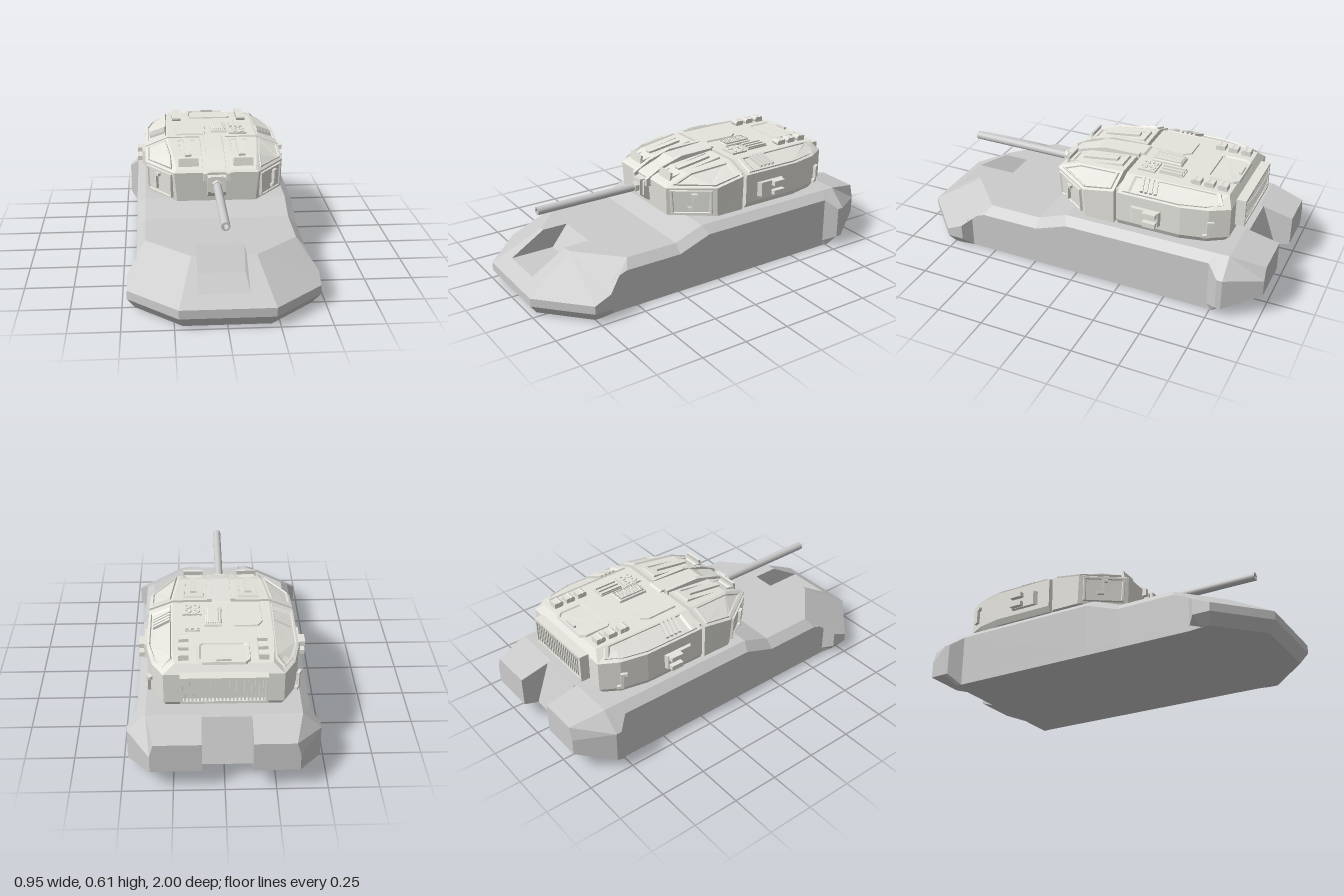
import * as THREE from 'three';

const hullMat = new THREE.MeshStandardMaterial({ color: 0xcccccc, flatShading: true });
const turretMat = new THREE.MeshStandardMaterial({ color: 0xe4e3dc, flatShading: true });

// Skin a series of equal-length rings, each counter-clockwise about the direction of travel, and cap both ends.
function loft(rings) {
  const pos = [], n = rings[0].length, last = rings[rings.length - 1];
  const quad = (a, b, c, d) => pos.push(...a, ...b, ...c, ...a, ...c, ...d);
  for (let i = 0; i + 1 < rings.length; i++)
    for (let j = 0; j < n; j++) {
      const k = (j + 1) % n;
      quad(rings[i][j], rings[i][k], rings[i + 1][k], rings[i + 1][j]);
    }
  for (let j = 0; j < (n - 1) / 2; j++) {
    const f = rings[0];
    if (j + 1 > n - 2 - j + 1) break;
    quad(f[j], f[n - 1 - j], f[n - 2 - j], f[j + 1]);
    quad(last[j], last[j + 1], last[n - 2 - j], last[n - 1 - j]);
  }
  const g = new THREE.BufferGeometry();
  g.setAttribute('position', new THREE.Float32BufferAttribute(pos, 3));
  g.computeVertexNormals();
  return g;
}
const mirror = (ring) => ring.map(([x, y, z]) => [-x, y, z]).reverse();
const fullRing = (half) => [...half, ...mirror(half)];

// Closed (z, y) profile extruded between x0 and x1
function extrudeX(profile, x0, x1) {
  const shape = new THREE.Shape(profile.map(([z, y]) => new THREE.Vector2(z, y)));
  return new THREE.ExtrudeGeometry(shape, { depth: x1 - x0, bevelEnabled: false })
    .rotateY(-Math.PI / 2).translate(x1, 0, 0);
}

// Plate on a surface: outline scaled about its centre and lifted along its normal, step by step
const RAISED = [[1, -0.004], [0.96, 0.009]];
const FRAMED = [[1, -0.006], [0.97, 0.008], [0.89, 0.008], [0.85, 0.001]];
function plate(points, steps) {
  const v = points.map((p) => new THREE.Vector3(...p));
  const c = v.reduce((s, p) => s.add(p), new THREE.Vector3()).divideScalar(v.length);
  const nrm = new THREE.Vector3();
  v.forEach((p, i) => nrm.add(p.clone().sub(c).cross(v[(i + 1) % v.length].clone().sub(c))));
  nrm.normalize();
  return loft(steps.map(([s, h]) => v.map((p) =>
    p.clone().sub(c).multiplyScalar(s).add(c).addScaledVector(nrm, h).toArray())));
}

export function createModel() {
  const model = new THREE.Group();
  const hull = new THREE.Group(), turret = new THREE.Group();
  hull.name = 'hull';
  turret.name = 'turret';
  model.add(hull, turret);
  const add = (group, name, geo, mat = turretMat) => {
    const m = new THREE.Mesh(geo, mat);
    m.name = name;
    group.add(m);
    return m;
  };
  const box = (name, w, h, d, x, y, z, ry = 0, rx = 0) => {
    const m = add(turret, name, new THREE.BoxGeometry(w, h, d));
    m.position.set(x, y, z);
    m.rotation.set(rx, ry, 0);
    return m;
  };
  const platePair = (name, pts, steps) => {
    add(turret, name + 'Left', plate(pts, steps));
    add(turret, name + 'Right', plate(mirror(pts), steps));
  };

  // Hull sides, rear to front: bottom edge, lower flank, upper flank, deck edge
  const stations = [
    [[.36, .12, -1], [.36, .12, -1], [.36, .21, -1], [.34, .28, -1]],
    [[.45, .06, -.82], [.475, .06, -.82], [.475, .23, -.82], [.38, .32, -.82]],
    [[.43, 0, -.76], [.475, .06, -.79], [.475, .23, -.79], [.38, .32, -.8]],
    [[.425, 0, -.73], [.425, .03, -.73], [.425, .28, -.73], [.38, .32, -.75]],
    [[.425, 0, .06], [.425, .03, .06], [.425, .28, .06], [.38, .32, .08]],
    [[.425, 0, .24], [.425, .03, .24], [.425, .215, .24], [.38, .26, .24]],
    [[.425, 0, .56], [.425, .03, .56], [.425, .215, .56], [.38, .26, .53]],
    [[.425, 0, .64], [.425, .03, .64], [.425, .185, .64], [.38, .26, .53]],
    [[.435, 0, .71], [.475, .055, .68], [.475, .14, .68], [.38, .26, .53]],
    [[.435, 0, .75], [.475, .055, .77], [.475, .1, .77], [.16, .26, .74]],
    [[.21, 0, .96], [.23, .055, 1], [.23, .1, 1], [.23, .1, 1]],
  ];
  const xRight = -0.135, xLeft = 0.11;
  const hullRing = (st, xi) => [...st, ...[3, 1, 0].map((i) => [xi, st[i][1], st[i][2]])];
  add(hull, 'hullLeft', loft(stations.map((s) => hullRing(s, xLeft))), hullMat);
  add(hull, 'hullRight', loft(stations.map((s) => mirror(hullRing(s, -xRight)))), hullMat);
  // Middle strip with the nose recess and the rear notch
  add(hull, 'hullMiddle', extrudeX([[.96, 0], [1, .055], [1, .1], [.927, .145], [.69, .145], [.6, .26],
    [.24, .26], [.08, .32], [-.84, .32], [-.92, .093], [-.82, .06], [-.76, 0]], xRight, xLeft), hullMat);
  add(hull, 'turretRing', new THREE.CylinderGeometry(.18, .18, .04, 32), hullMat).position.set(0, .325, -.31);

  // Turret bodies: front wedge and rear casemate with a narrow joint between
  add(turret, 'turretFront', loft([
    [[.21, .34, .185], [.37, .34, -.03], [.37, .34, -.19]],
    [[.225, .50, .2], [.375, .50, -.02], [.375, .53, -.19]],
    [[.21, .512, .188], [.225, .555, .07], [.25, .58, -.19]],
  ].map(fullRing)));
  add(turret, 'turretRear', loft([
    [[.36, .34, -.21], [.36, .34, -.54], [.33, .34, -.68], [.28, .34, -.76]],
    [[.375, .37, -.21], [.375, .37, -.55], [.345, .37, -.69], [.29, .37, -.785]],
    [[.375, .53, -.21], [.375, .53, -.55], [.345, .53, -.69], [.29, .53, -.785]],
    [[.25, .58, -.21], [.25, .58, -.55], [.245, .58, -.66], [.235, .575, -.755]],
  ].map(fullRing)));
  box('turretJoint', .68, .18, .06, 0, .44, -.2);

  // Armour panels
  platePair('cheekFrame', [[.235, .355, .175], [.36, .355, -.005], [.365, .49, 0], [.235, .49, .185]], FRAMED);
  platePair('cheekRoofFrame', [[.235, .512, .165], [.362, .508, -.02], [.362, .533, -.175],
    [.262, .574, -.175], [.237, .553, .06]], FRAMED);
  platePair('sideRoofFrame', [[.365, .535, -.23], [.365, .535, -.54], [.335, .535, -.67], [.29, .537, -.75],
    [.25, .577, -.72], [.258, .577, -.23]], FRAMED);
  platePair('frontRoofPanel', [[.09, .524, .155], [.195, .524, .155], [.2, .576, -.17], [.09, .576, -.17]],
    [[1, -.01], [.96, .014], [.82, .014], [.79, .007]]);
  for (const s of [-1, 1]) {
    box('frontPanelRib', .035, .012, .2, s * .145, .572, -.02, 0, .14);
    box('frontPanelLip', .105, .06, .012, s * .147, .535, .152, 0, -.15);
    // Mantlet cheeks either side of the gun slot
    add(turret, 'mantletCheek', extrudeX([[-.2, .57], [-.2, .592], [0, .588], [.13, .55], [.222, .5], [.222, .46], [.18, .46]],
      s > 0 ? .05 : -.072, s > 0 ? .072 : -.05));
    // Handles on the cheeks and rear corners
    for (const [x, z, ry] of [[.305, .085, .97], [.35, -.69, 2.05]]) {
      const h = new THREE.Group();
      h.name = 'handle';
      for (const [w, hh, y, px] of [[.014, .07, 0, 0], [.034, .016, .036, .01], [.034, .016, -.036, -.01]])
        add(h, 'handleBar', new THREE.BoxGeometry(w, hh, .016)).position.set(px, y, .014);
      h.position.set(s * x, .43, z);
      h.rotation.y = s * ry;
      turret.add(h);
    }
    // Side sight: tapered base with two prongs
    add(turret, 'sideSight', loft([
      [[.37, .395, -.28], [.37, .395, -.45], [.37, .475, -.45], [.37, .475, -.28]],
      [[.395, .395, -.3], [.395, .395, -.44], [.395, .475, -.44], [.395, .475, -.3]],
    ].map((r) => (s > 0 ? r : mirror(r)))));
    for (const y of [.41, .462]) box('sideSightProng', .035, .026, .07, s * .404, y, -.4);
    // Louvres on the sloped sides
    for (let i = 0; i < 4; i++) {
      const l = box('louvre', .095, .016, .015, s * .305, .566, -.32 - i * .025, s * .25);
      l.rotation.z = -s * .38;
    }
    // Launcher blocks
    for (const z of [-.575, -.645, -.715]) {
      box('launcher', .048, .03, .038, s * .192, .59, z);
      const tube = add(turret, 'launcherTube', new THREE.CylinderGeometry(.016, .016, .05, 12).rotateZ(Math.PI / 2));
      tube.position.set(s * .192, .592, z + .016);
    }
  }

  // Roof hatches
  add(turret, 'rearHatch', plate([[.13, .579, -.61], [.13, .579, -.74], [.105, .577, -.765], [-.105, .577, -.765],
    [-.13, .579, -.74], [-.13, .579, -.61], [-.115, .579, -.595], [.115, .579, -.595]], FRAMED));
  box('rearHatchHandle', .07, .012, .014, 0, .588, -.745);
  add(turret, 'crewHatch', plate([[-.035, .579, -.24], [-.03, .579, -.41], [-.06, .579, -.45], [-.18, .579, -.45],
    [-.205, .579, -.41], [-.2, .579, -.24]], RAISED));

  // Slatted roof sight
  add(turret, 'roofSight', loft([
    [[.09, .575, -.28], [.09, .575, -.45], [0, .575, -.45], [0, .575, -.28]],
    [[.088, .592, -.285], [.088, .592, -.445], [.002, .592, -.445], [.002, .592, -.285]],
    [[.07, .602, -.3], [.07, .602, -.43], [.02, .602, -.43], [.02, .602, -.3]],
  ]));
  for (let i = 0; i < 7; i++) box('roofSightSlat', .006, .016, .15, .012 + i * .011, .595, -.365);

  // Vents beside the sight: four caps and a slotted box
  box('ventBase', .1, .012, .095, .15, .584, -.295);
  for (const x of [.128, .172]) for (const z of [-.273, -.317]) {
    const t = add(turret, 'ventCap', new THREE.TorusGeometry(.014, .005, 8, 18).rotateX(Math.PI / 2));
    t.position.set(x, .591, z);
  }
  box('slotBase', .075, .01, .13, .148, .583, -.425);
  for (const x of [.12, .148, .176]) box('slotRail', .014, .018, .12, x, .588, -.425);

  // Rear grille
  box('grilleBack', .41, .13, .04, 0, .47, -.79);
  for (const y of [.403, .537]) box('grilleRail', .42, .014, .05, 0, y, -.81);
  for (const s of [-1, 1]) box('grilleEnd', .014, .14, .05, s * .203, .47, -.81);
  for (let i = 0; i < 22; i++) box('grilleSlat', .008, .125, .025, -.187 + i * .0178, .47, -.818);

  // Gun: mantlet, collar and bored barrel
  add(turret, 'mantlet', extrudeX([[-.24, .57], [-.22, .59], [.04, .575], [.19, .49], [.225, .48], [.225, .4],
    [.2, .37], [0, .37]], -.048, .048));
  box('barrelCollar', .065, .09, .03, 0, .445, .225);
  add(turret, 'barrelNut', new THREE.CylinderGeometry(.03, .03, .03, 6).rotateX(Math.PI / 2)).position.set(0, .443, .25);
  const barrelMat = new THREE.MeshStandardMaterial({ color: 0xcccccc });
  const barrel = new THREE.LatheGeometry([[.022, 0], [.022, .63], [.022, .63], [.013, .63], [.013, .63], [.013, .54], [0, .54]]
    .map(([r, y]) => new THREE.Vector2(r, y)), 20).rotateX(Math.PI / 2);
  add(turret, 'barrel', barrel, barrelMat).position.set(0, .443, .2);
  return model;
}
